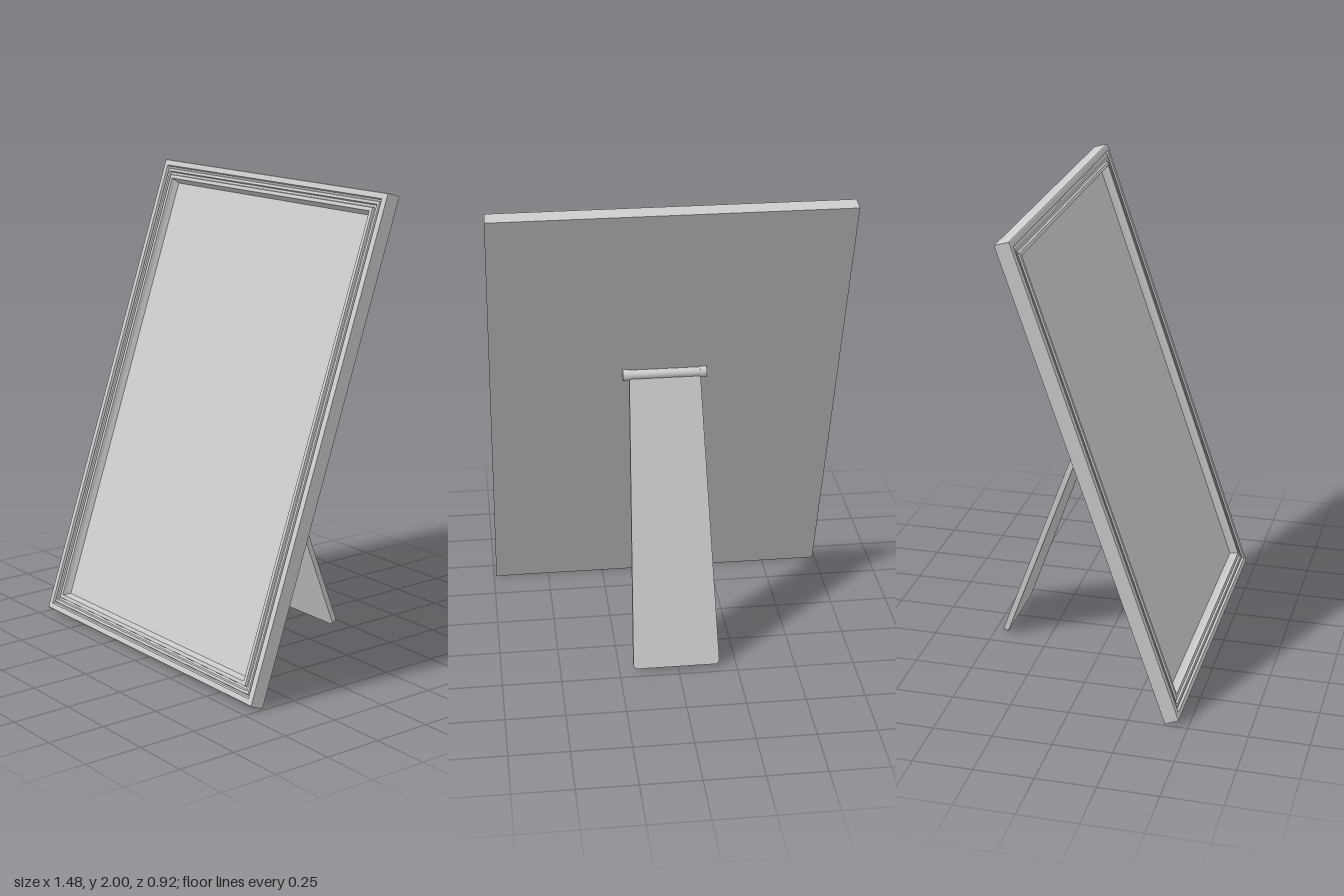
import * as THREE from 'three';

const mat = new THREE.MeshStandardMaterial({ color: 0xcccccc, flatShading: true });
const smooth = new THREE.MeshStandardMaterial({ color: 0xcccccc });
const HALF_W = 0.74, HEIGHT = 2.093, TILT = 0.33;

function add(parent, name, geometry, material = mat) {
  const mesh = new THREE.Mesh(geometry, material);
  mesh.name = name;
  parent.add(mesh);
  return mesh;
}

// Sweeps an (inset, depth) profile round a rectangle with mitred corners
function mitredFrame(profile) {
  const corners = [[-1, 0], [1, 0], [1, 1], [-1, 1]];
  const point = (c, [inset, z]) => [
    c[0] * (HALF_W - inset), c[1] ? HEIGHT - inset : inset, z];
  const pos = [];
  for (let i = 0; i < 4; i++) {
    const a = corners[i], b = corners[(i + 1) % 4];
    for (let j = 0; j < profile.length - 1; j++) {
      const p = point(a, profile[j]), q = point(b, profile[j]);
      const r = point(b, profile[j + 1]), s = point(a, profile[j + 1]);
      pos.push(...p, ...q, ...r, ...p, ...r, ...s);
    }
  }
  const g = new THREE.BufferGeometry();
  g.setAttribute('position', new THREE.Float32BufferAttribute(pos, 3));
  g.computeVertexNormals();
  return g;
}

// Tapered leg with rounded lower corners, hanging down from the hinge
function legGeometry(top, bottom, length, thickness) {
  const r = 0.022, s = new THREE.Shape();
  s.moveTo(top, 0);
  s.lineTo(-top, 0);
  s.lineTo(-bottom, -length + r);
  s.quadraticCurveTo(-bottom, -length, -bottom + r, -length);
  s.lineTo(bottom - r, -length);
  s.quadraticCurveTo(bottom, -length, bottom, -length + r);
  s.closePath();
  return new THREE.ExtrudeGeometry(s, { depth: thickness, bevelEnabled: false, curveSegments: 6 })
    .translate(0, 0, -thickness / 2);
}

export function createModel() {
  const model = new THREE.Group();

  // Leaning picture frame
  const frame = new THREE.Group();
  frame.name = 'pictureFrame';
  frame.position.set(0, 0, 0.403);
  frame.rotation.x = -TILT;
  model.add(frame);

  // Stepped moulding: outer lip, two grooves and a sloping inner wall
  add(frame, 'moulding', mitredFrame([
    [0, 0], [0.003, 0.06], [0.006, 0.062], [0.028, 0.062], [0.032, 0.052],
    [0.038, 0.052], [0.041, 0.058], [0.052, 0.058], [0.056, 0.05],
    [0.065, 0.05], [0.068, 0.06], [0.083, 0.06], [0.087, 0.045], [0.096, 0.027],
  ]));

  // Picture surface and back board
  const inset = 0.096;
  const picture = add(frame, 'picturePanel',
    new THREE.PlaneGeometry(2 * (HALF_W - inset), HEIGHT - 2 * inset));
  picture.position.set(0, HEIGHT / 2, 0.027);
  const back = add(frame, 'backBoard', new THREE.PlaneGeometry(2 * HALF_W, HEIGHT));
  back.position.set(0, HEIGHT / 2, 0);
  back.rotation.y = Math.PI;

  // Hinged easel stand
  const stand = new THREE.Group();
  stand.name = 'easelStand';
  stand.position.set(0.007, 1.185, -0.02);
  model.add(stand);

  const leg = add(stand, 'standLeg', legGeometry(0.15, 0.184, 1.253, 0.024));
  leg.rotation.x = 0.35;

  const rod = add(stand, 'hingeRod', new THREE.CylinderGeometry(0.021, 0.021, 0.34, 24), smooth);
  rod.rotation.z = Math.PI / 2;
  for (const side of [-1, 1]) {
    const collar = add(stand, side > 0 ? 'leftHingeCollar' : 'rightHingeCollar',
      new THREE.CylinderGeometry(0.024, 0.024, 0.028, 24), smooth);
    collar.rotation.z = Math.PI / 2;
    collar.position.x = side * 0.163;
  }
  return model;
}
